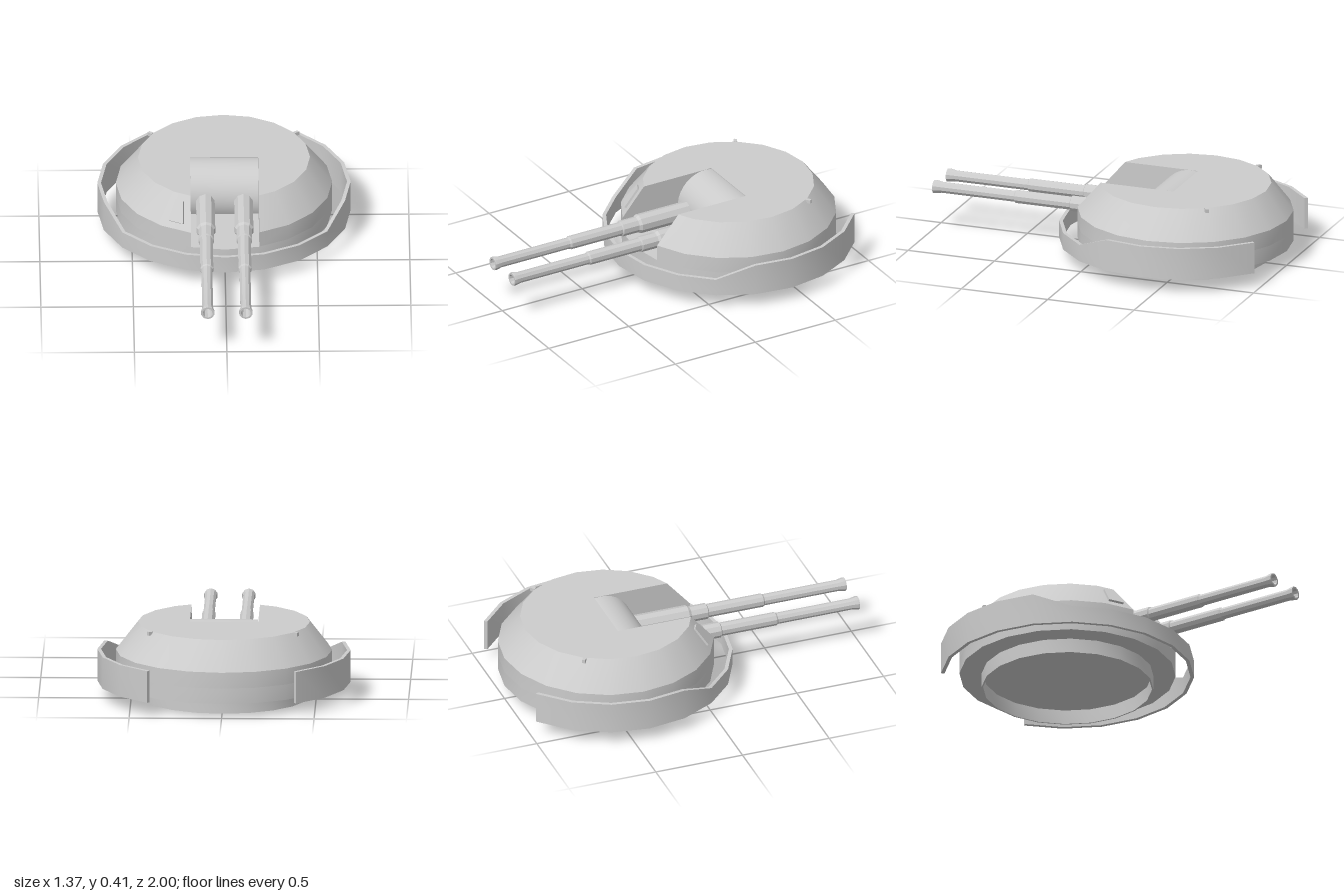
import * as THREE from 'three';
import { toCreasedNormals } from 'three/addons/utils/BufferGeometryUtils.js';

const CZ = -0.415;            // turret axis in z
const STEP = Math.PI / 10;    // twenty-sided hull
const SLOT = 0.185;           // half width of the gun slot
const SLOT_BACK = -0.415;

// Skin a list of equal-length closed sections; cap is the 2D outline used to fill both ends
function loft(sections, cap) {
  const n = sections[0].length, pos = [], idx = [];
  for (const s of sections) for (const p of s) pos.push(...p);
  for (let j = 0; j + 1 < sections.length; j++) {
    for (let i = 0; i < n; i++) {
      const a = j * n + i, b = j * n + (i + 1) % n;
      idx.push(a, b, b + n, a, b + n, a + n);
    }
  }
  const last = (sections.length - 1) * n;
  for (const [a, b, c] of THREE.ShapeUtils.triangulateShape(cap.map(p => new THREE.Vector2(...p)), [])) {
    idx.push(c, b, a, last + a, last + b, last + c);
  }
  const g = new THREE.BufferGeometry();
  g.setAttribute('position', new THREE.Float32BufferAttribute(pos, 3));
  g.setIndex(idx);
  return g;
}

// Horizontal hull outline of radius r with the gun slot cut into its front
function slottedOutline(r, y) {
  const at = k => [r * Math.sin(k * STEP), y, CZ + r * Math.cos(k * STEP)];
  const p = at(1), q = at(2), t = (SLOT - p[0]) / (q[0] - p[0]);
  const zCut = p[2] + t * (q[2] - p[2]);
  const pts = [[SLOT, y, zCut]];
  for (let k = 2; k <= 18; k++) pts.push(at(k));
  pts.push([-SLOT, y, zCut], [-SLOT, y, SLOT_BACK], [SLOT, y, SLOT_BACK]);
  return pts;
}

const points = list => list.map(p => new THREE.Vector2(...p));

export function createModel() {
  const model = new THREE.Group();
  model.name = 'gunTurret';
  const grey = new THREE.MeshStandardMaterial({ color: 0xcccccc });
  grey.name = 'light grey';
  const add = (name, geometry, x = 0, y = 0, z = 0) => {
    const mesh = new THREE.Mesh(toCreasedNormals(geometry, 0.5), grey);
    mesh.name = name;
    mesh.position.set(x, y, z);
    model.add(mesh);
    return mesh;
  };

  // Hollow base ring, open underneath up to the hull floor
  const ring = points([[0.457, 0.08], [0.457, 0], [0.465, 0], [0.465, 0.08]]);
  add('baseRing', new THREE.LatheGeometry(ring, 20), 0, 0, CZ);

  // Lower hull that forms the slot floor
  add('lowerHull', new THREE.CylinderGeometry(0.585, 0.585, 0.085, 20), 0, 0.1225, CZ);

  // Upper hull: straight wall, then sloped armour up to the flat roof
  const levels = [[0.585, 0.165], [0.585, 0.253], [0.465, 0.408]].map(l => slottedOutline(...l));
  add('upperHull', loft(levels, levels[2].map(p => [p[0], -p[2]])));

  // Curved shield behind the guns
  const mantlet = new THREE.CylinderGeometry(0.17, 0.17, 0.368, 14, 1, true, -0.5, Math.PI * 0.85);
  mantlet.rotateZ(Math.PI / 2);
  add('mantlet', mantlet, 0, 0.238, -0.375);

  // Curved skirt, open at the back and lowered at the front
  const skirt = [];
  for (let k = -8; k <= 8; k++) {
    const s = Math.sin(k * STEP), c = Math.cos(k * STEP);
    const top = Math.abs(k) <= 3 ? 0.172 : 0.253;
    const at = (r, y) => [r * s, y, CZ + r * c];
    skirt.push([at(0.685, 0.078), at(0.665, 0.078), at(0.665, top), at(0.685, top)]);
  }
  add('skirt', loft(skirt, [[0, 0], [1, 0], [1, 1], [0, 1]]));

  // Twin stepped barrels with hollow flared muzzles
  const profile = points([
    [0, -0.3], [0.053, -0.3], [0.053, 0.09], [0.044, 0.105], [0.044, 0.2], [0.037, 0.205],
    [0.037, 0.522], [0.031, 0.53], [0.031, 0.955], [0.038, 0.99], [0.037, 1],
    [0.027, 1], [0.02, 0.9], [0, 0.9],
  ]);
  for (const side of [-1, 1]) {
    const barrel = new THREE.LatheGeometry(profile, 10);
    barrel.rotateX(Math.PI / 2);
    add(side > 0 ? 'leftBarrel' : 'rightBarrel', barrel, side * 0.103, 0.24, 0);

    // Small lifting lug on the rear shoulder
    const lug = add(side > 0 ? 'leftLug' : 'rightLug', new THREE.BoxGeometry(0.018, 0.02, 0.028),
      side * 0.394, 0.4, -0.687);
    lug.rotation.y = side * 7 * STEP;
  }

  // Sight hatch lying on the sloped front armour
  const hatchShape = new THREE.Shape(
    points([[-0.056, 0.036], [0.034, 0.036], [-0.003, 0.155], [-0.048, 0.155]]));
  const hatch = add('sightHatch',
    new THREE.ExtrudeGeometry(hatchShape, { depth: 0.02, bevelEnabled: false }));
  const a = -1.5 * STEP, r = 0.585 * Math.cos(STEP / 2);
  const across = new THREE.Vector3(Math.cos(a), 0, -Math.sin(a));
  const up = new THREE.Vector3(-0.61 * Math.sin(a), 0.79, -0.61 * Math.cos(a)).normalize();
  const out = new THREE.Vector3().crossVectors(across, up);
  hatch.quaternion.setFromRotationMatrix(new THREE.Matrix4().makeBasis(across, up, out));
  hatch.position.set(r * Math.sin(a), 0.253, CZ + r * Math.cos(a)).addScaledVector(out, -0.008);

  return model;
}
